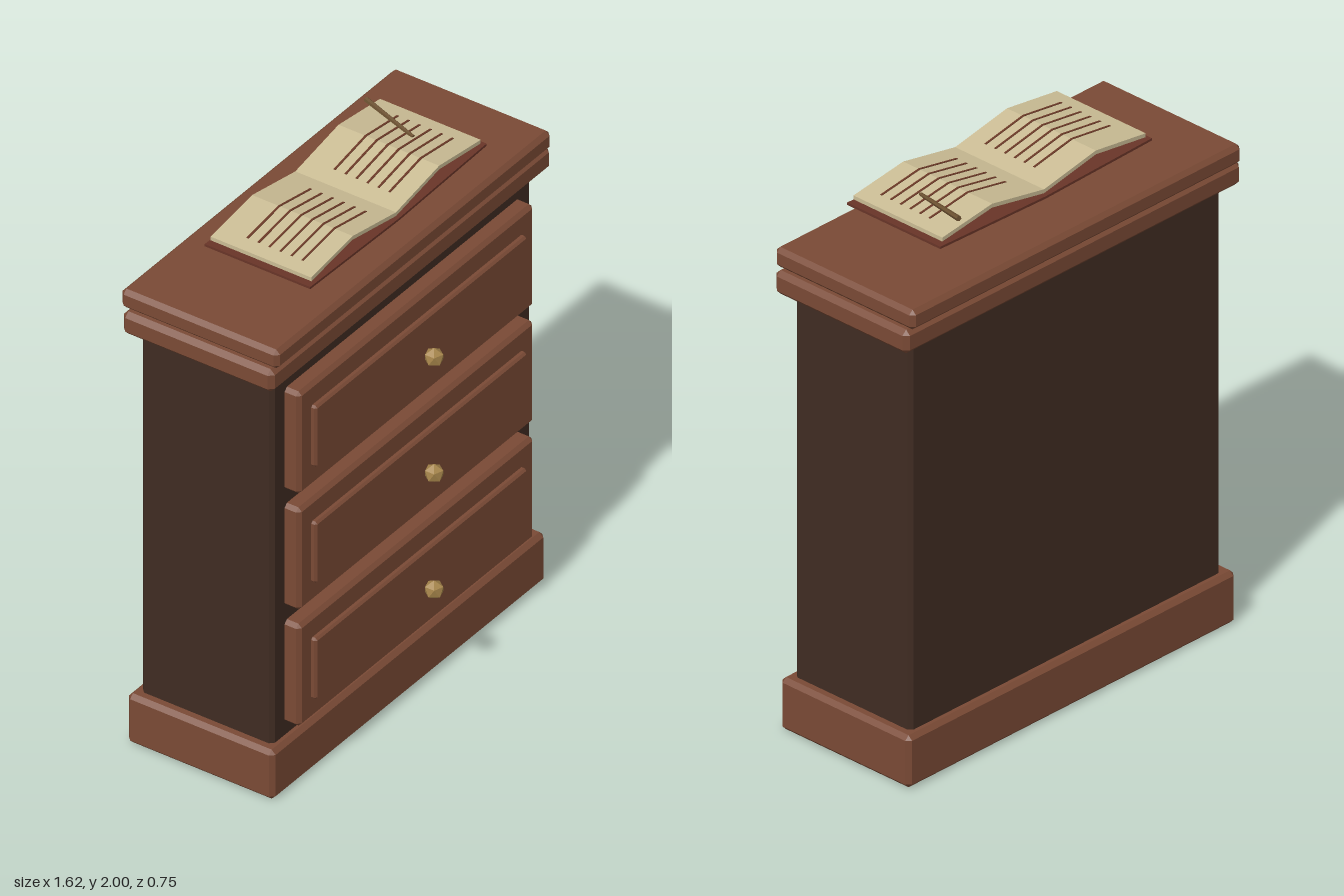
import * as THREE from 'three';
import { ConvexGeometry } from 'three/addons/geometries/ConvexGeometry.js';

const mat = (name, color) => {
  const m = new THREE.MeshStandardMaterial({ color, flatShading: true });
  m.name = name;
  return m;
};

// Box with chamfered edges, given by its limits on each axis
function chamferBox([x0, x1], [y0, y1], [z0, z1], b) {
  const c = [(x0 + x1) / 2, (y0 + y1) / 2, (z0 + z1) / 2];
  const h = [(x1 - x0) / 2, (y1 - y0) / 2, (z1 - z0) / 2];
  const points = [];
  for (const sx of [-1, 1]) for (const sy of [-1, 1]) for (const sz of [-1, 1]) {
    const s = [sx, sy, sz];
    for (let full = 0; full < 3; full++) {
      points.push(new THREE.Vector3(...s.map((v, i) => c[i] + v * (i === full ? h[i] : h[i] - b))));
    }
  }
  return new ConvexGeometry(points);
}

// Sheet that follows a polyline in x/y, has a thickness below it and runs from z0 to z1
function sheet(line, thick, z0, z1) {
  const outline = [...line, ...line.map(([x, y]) => [x, y - thick]).reverse()];
  const shape = new THREE.Shape(outline.map(([x, y]) => new THREE.Vector2(x, y)));
  const g = new THREE.ExtrudeGeometry(shape, { depth: z1 - z0, bevelEnabled: false });
  return g.translate(0, 0, z0);
}

export function createModel() {
  const wood = mat('wood', 0x7a4a35);
  const darkWood = mat('darkWood', 0x402c22);
  const brass = mat('brass', 0xa5844a);
  const paper = mat('paper', 0xcbbd95);
  const leather = mat('leather', 0x693528);
  const ink = mat('ink', 0x6a3826);
  const penWood = mat('penWood', 0x6b5030);

  const model = new THREE.Group();
  model.name = 'chestOfDrawers';
  const add = (name, geometry, material, parent = model) => {
    const mesh = new THREE.Mesh(geometry, material);
    mesh.name = name;
    parent.add(mesh);
    return mesh;
  };

  // Carcass, plinth and the two-step top
  add('carcass', chamferBox([-0.75, 0.75], [0.15, 1.72], [-0.325, 0.215], 0.015), darkWood);
  add('plinth', chamferBox([-0.79, 0.79], [0, 0.2], [-0.355, 0.245], 0.016), wood);
  add('cornice', chamferBox([-0.81, 0.81], [1.677, 1.768], [-0.363, 0.255], 0.018), wood);
  add('topBoard', chamferBox([-0.795, 0.795], [1.77, 1.846], [-0.378, 0.267], 0.016), wood);

  // Three drawers with a raised panel and a faceted knob
  const knobGeometry = new THREE.IcosahedronGeometry(0.036, 0)
    .rotateX(-Math.atan((1 + Math.sqrt(5)) / 2)).rotateY(Math.PI / 2);
  for (const y of [0.458, 0.933, 1.407]) {
    const drawer = new THREE.Group();
    drawer.name = 'drawer';
    model.add(drawer);
    add('drawerFront', chamferBox([-0.68, 0.68], [y - 0.208, y + 0.208], [0.2, 0.276], 0.014), wood, drawer);
    add('raisedPanel', chamferBox([-0.612, 0.612], [y - 0.124, y + 0.124], [0.25, 0.296], 0.008), wood, drawer);
    add('knob', knobGeometry, brass, drawer).position.set(0, y, 0.346);
  }

  // Open book
  const book = new THREE.Group();
  book.name = 'openBook';
  model.add(book);
  add('cover', sheet([[-0.51, 1.926], [0, 1.912], [0.51, 1.926]], 0.009, -0.232, 0.2), leather, book);
  const pageLine = [[-0.49, 1.949], [-0.25, 1.981], [0, 1.934], [0.25, 1.981], [0.49, 1.949]];
  add('pages', sheet(pageLine, 0.015, -0.222, 0.19), paper, book);

  // Ruled lines of writing that follow the page curve
  for (const s of [-1, 1]) {
    for (let i = 0; i < 6; i++) {
      const z = -0.11 + i * 0.045;
      const line = [[0.435, 1.9583], [0.25, 1.983], [0.068, 1.9488]].map(([x, y]) => [s * x, y]);
      if (s > 0) line.reverse();
      add('writingLine', sheet(line, 0.004, z - 0.004, z + 0.004), ink, book);
    }
  }

  // Pen resting on the right-hand page
  const tip = new THREE.Vector3(0.352, 1.968, 0.012);
  const end = new THREE.Vector3(0.412, 1.991, -0.224);
  const dir = end.clone().sub(tip);
  const pen = add('pen', new THREE.CylinderGeometry(0.01, 0.007, dir.length(), 6), penWood);
  pen.position.copy(tip).add(end).multiplyScalar(0.5);
  pen.quaternion.setFromUnitVectors(new THREE.Vector3(0, 1, 0), dir.normalize());

  return model;
}
